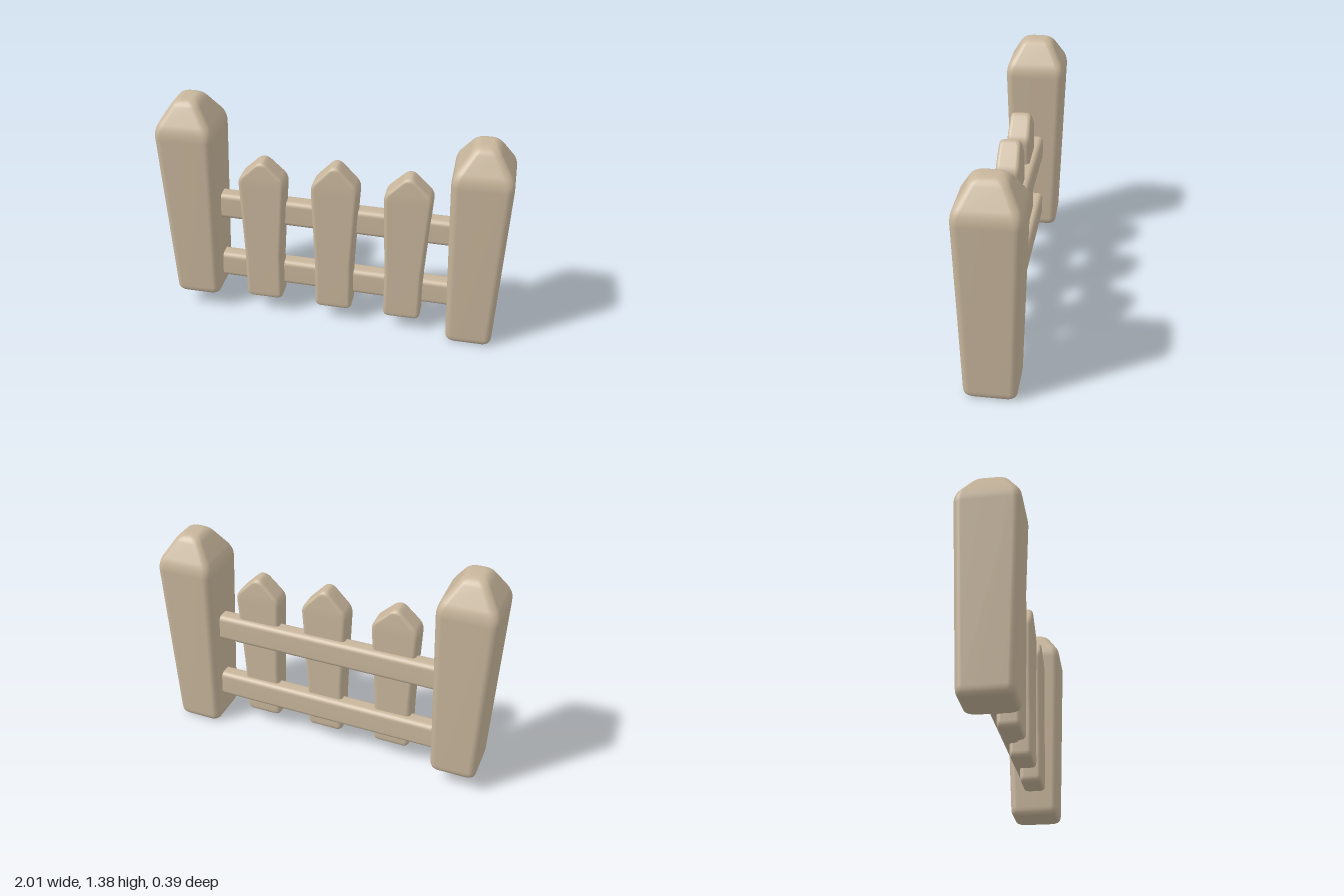
import * as THREE from 'three';

const wood = new THREE.MeshStandardMaterial({ color: 0xc8b69c });
wood.name = 'paleWood';

// Rounds the corners of a section path with small quadratic curves.
function roundPath(keys, bevel) {
  const mix = (a, b, t) => a.map((v, i) => v + (b[i] - v) * t);
  const dist = (a, b) => Math.hypot(...a.slice(0, 5).map((v, i) => v - b[i]));
  const out = [keys[0]];
  for (let i = 1; i < keys.length - 1; i++) {
    const k = keys[i];
    const [p, n] = [keys[i - 1], keys[i + 1]].map((o) => mix(k, o, Math.min(0.48, bevel / dist(k, o))));
    for (let s = 0; s <= 5; s++) {
      const t = s / 5;
      out.push(mix(mix(p, k, t), mix(k, n, t), t));
    }
  }
  out.push(keys[keys.length - 1]);
  return out;
}

// Lofts rounded rectangles; each section is [y, centreX, centreZ, halfX, halfZ, cornerRadius].
function loft(keys, bevel) {
  const sections = roundPath(keys, bevel);
  const steps = 5, ring = 4 * (steps + 1), pos = [], index = [];
  for (const [y, cx, cz, hx, hz, radius] of sections) {
    const r = Math.min(radius, hx * 0.9, hz * 0.9);
    for (let c = 0; c < 4; c++) {
      const sx = c === 0 || c === 3 ? 1 : -1, sz = c < 2 ? 1 : -1;
      for (let s = 0; s <= steps; s++) {
        const a = (c + s / steps) * Math.PI / 2;
        pos.push(cx + sx * (hx - r) + r * Math.cos(a), y, cz + sz * (hz - r) + r * Math.sin(a));
      }
    }
  }
  for (let i = 0; i < sections.length - 1; i++) {
    for (let j = 0; j < ring; j++) {
      const a = i * ring + j, b = i * ring + (j + 1) % ring;
      index.push(a, a + ring, b, b, a + ring, b + ring);
    }
  }
  const g = new THREE.BufferGeometry();
  g.setAttribute('position', new THREE.Float32BufferAttribute(pos, 3));
  g.setIndex(index);
  g.computeVertexNormals();
  return g;
}

// Thick end post, wider at the shoulder, with a blunt pyramid top.
function post(x, y, z) {
  return loft([
    [y, x, z, 0, 0, 0.04],
    [y, x, z, 0.134, 0.146, 0.04],
    [y + 1.115, x, z, 0.17, 0.179, 0.045],
    [y + 1.28, x, z, 0.06, 0.085, 0.04],
    [y + 1.28, x, z, 0, 0, 0.04],
  ], 0.05);
}

// Slim picket with a slight waist and a ridge top.
function picket(x, bottom, shoulder, peak, z, lean) {
  const d = 0.068;
  return loft([
    [bottom, x - lean, z, 0, 0, 0.025],
    [bottom, x - lean, z, 0.111, d - 0.004, 0.025],
    [bottom + 0.3, x - lean * 0.8, z, 0.112, d - 0.002, 0.025],
    [shoulder, x, z, 0.138, d, 0.025],
    [peak, x, z, 0.018, d - 0.008, 0.02],
    [peak, x, z, 0, 0, 0.02],
  ], 0.035);
}

// Cross rail running between the posts, dropping slightly toward +x.
function rail(y) {
  return loft([
    [-0.85, -y - 0.006, -0.026, 0, 0, 0.03],
    [-0.85, -y - 0.006, -0.026, 0.082, 0.05, 0.03],
    [0.85, -y + 0.006, 0, 0.082, 0.05, 0.03],
    [0.85, -y + 0.006, 0, 0, 0, 0.03],
  ], 0.03).rotateZ(-Math.PI / 2);
}

export function createModel() {
  const fence = new THREE.Group();
  fence.name = 'picketFence';
  const add = (name, geometry) => {
    const mesh = new THREE.Mesh(geometry, wood);
    mesh.name = name;
    fence.add(mesh);
  };

  add('rightPost', post(-0.836, 0.103, -0.015));
  add('leftPost', post(0.834, 0, 0.017));

  add('rightPicket', picket(-0.41, 0.11, 0.93, 1.045, 0.033, 0.01));
  add('middlePicket', picket(0.016, 0.1, 0.935, 1.065, 0.038, 0.008));
  add('leftPicket', picket(0.435, 0.092, 0.925, 1.045, 0.043, 0.01));

  add('upperRail', rail(0.683));
  add('lowerRail', rail(0.262));
  return fence;
}
